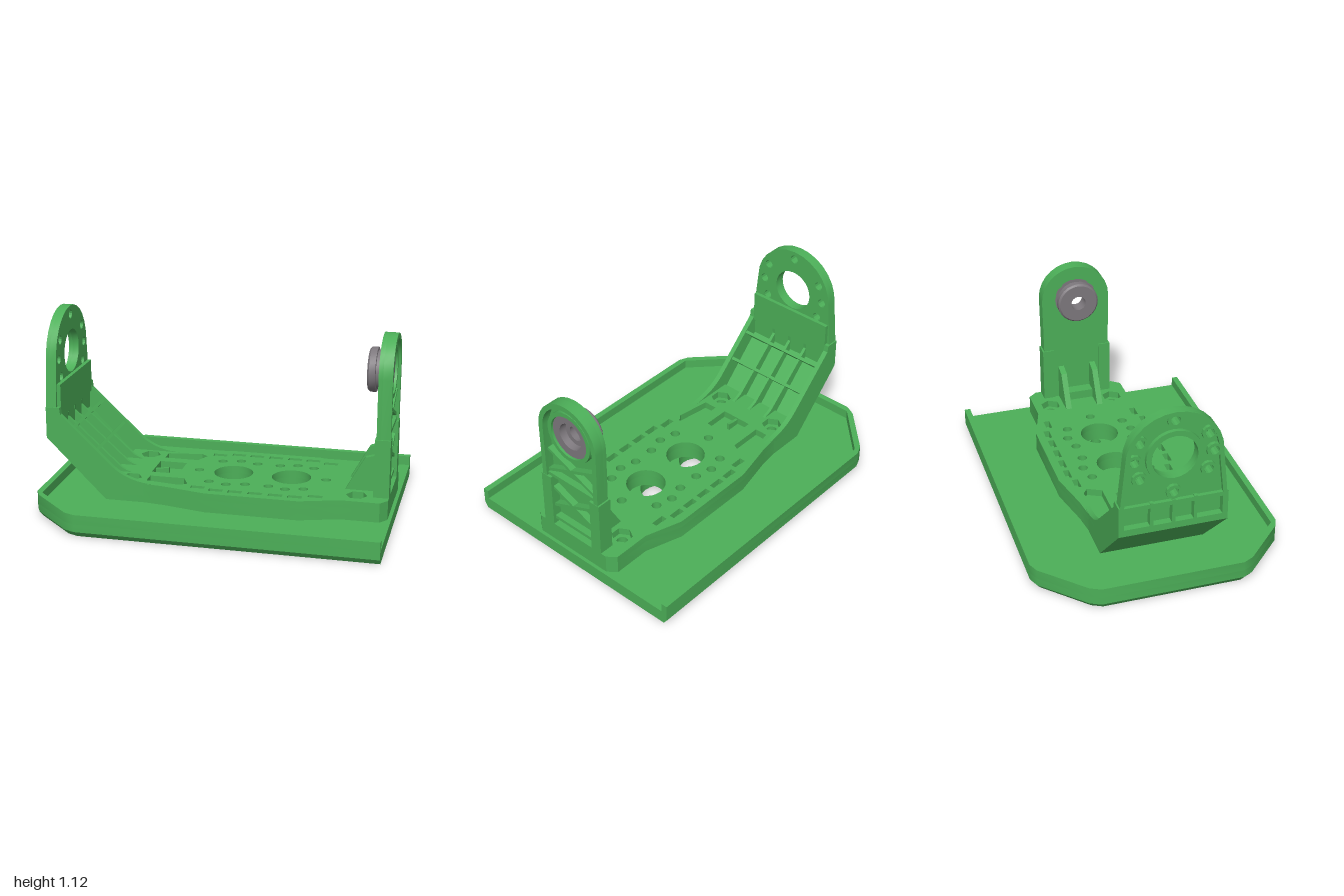
import * as THREE from 'three';
import { toCreasedNormals } from 'three/addons/utils/BufferGeometryUtils.js';

const green = new THREE.MeshStandardMaterial({ color: 0x4caf58 });
const steel = new THREE.MeshStandardMaterial({ color: 0x7d787d });

export function createModel() {
  const model = new THREE.Group();

  const add = (name, geo, mat = green) => {
    const mesh = new THREE.Mesh(toCreasedNormals(geo, 0.5), mat);
    mesh.name = name;
    model.add(mesh);
    return mesh;
  };
  const poly = (pts) => new THREE.Shape(pts.map(([x, y]) => new THREE.Vector2(x, y)));
  const disc = (x, y, r, n = 20) => poly(Array.from({ length: n }, (_, i) => {
    const a = (i / n) * Math.PI * 2;
    return [x + r * Math.cos(a), y + r * Math.sin(a)];
  }));
  const rect = (x, y, w, h) => poly([[x - w / 2, y - h / 2], [x + w / 2, y - h / 2], [x + w / 2, y + h / 2], [x - w / 2, y + h / 2]]);
  const extrude = (shape, holes, depth) => {
    shape.holes = holes;
    return new THREE.ExtrudeGeometry(shape, { depth, bevelEnabled: false, curveSegments: 8 });
  };
  // Extrusions along y, x and z
  const slab = (shape, holes, y0, y1) => extrude(shape, holes, y1 - y0).rotateX(-Math.PI / 2).translate(0, y0, 0);
  const plate = (shape, holes, x0, x1) => extrude(shape, holes, x1 - x0).rotateY(Math.PI / 2).translate(x0, 0, 0);
  const rib = (shape, z, t) => extrude(shape, [], t).translate(0, 0, z - t / 2);
  const box = (x0, x1, y0, y1, w, z = 0) =>
    new THREE.BoxGeometry(x1 - x0, y1 - y0, w).translate((x0 + x1) / 2, (y0 + y1) / 2, z);
  const both = (list) => list.flatMap(([x, z]) => (z ? [[x, z], [x, -z]] : [[x, z]]));

  // Tray with a raised rim on three sides
  const trayOutline = () => poly([[1, -0.71], [1, 0.71], [-0.68, 0.71], [-0.74, 0.685], [-0.97, 0.46], [-1, 0.4],
    [-1, -0.4], [-0.97, -0.46], [-0.74, -0.685], [-0.68, -0.71]]);
  const corners = both([[-0.5, 0.2], [0.8, 0.2]]);
  const trayHoles = () => [
    ...[-0.05, 0.285].map((x) => disc(x, 0, 0.11, 24)),
    ...corners.concat(both([[0.54, 0.26], [-0.31, 0.28], [0.04, 0.19], [0.18, 0.19], [-0.26, 0], [-0.19, 0], [0.48, 0]]))
      .map(([x, z]) => disc(x, z, 0.032, 14)),
  ];
  const bottom = slab(trayOutline(), trayHoles(), 0, 0.03);
  const p = bottom.attributes.position;
  for (let i = 0; i < p.count; i++) {
    // Draw in the lower outer edge
    if (p.getY(i) < 0.01 && (Math.abs(p.getZ(i)) > 0.39 || p.getX(i) < -0.7)) {
      p.setZ(i, p.getZ(i) * 0.97);
      if (p.getX(i) < 0) p.setX(i, p.getX(i) * 0.98);
    }
  }
  add('trayBottom', bottom);
  add('trayFloor', slab(trayOutline(), trayHoles(), 0.03, 0.075));
  add('trayRim', slab(poly([[1, -0.71], [1, -0.675], [-0.7, -0.675], [-0.965, -0.42], [-0.965, 0.42], [-0.7, 0.675], [1, 0.675],
    [1, 0.71], [-0.68, 0.71], [-0.74, 0.685], [-0.97, 0.46], [-1, 0.4], [-1, -0.4], [-0.97, -0.46], [-0.74, -0.685], [-0.68, -0.71]]),
  [], 0.075, 0.13));

  // Bracket base: drilled lower layer, upper layer with shallow pockets
  const half = [[-0.62, 0.3], [-0.4, 0.3], [-0.28, 0.315], [-0.03, 0.37], [0.5, 0.37], [0.72, 0.3], [0.94, 0.3], [0.98, 0.25]];
  const baseOutline = () => poly([...half.map(([x, z]) => [x, -z]), ...half.slice().reverse()]);
  const baseHoles = () => [
    ...[0.055, 0.395].map((x) => disc(x, 0, 0.113, 24)),
    ...both([[-0.15, 0], [-0.05, 0.175], [0.055, 0.2], [0.16, 0.175], [0.295, 0.175], [0.395, 0.2], [0.495, 0.175], [0.48 + 0.115, 0]])
      .map(([x, z]) => disc(x, z, 0.028, 14)),
  ];
  const pockets = [
    rect(-0.33, 0, 0.16, 0.19),
    ...both([[0.02, 0.305], [0.13, 0.305], [0.245, 0.305], [0.36, 0.305], [0.47, 0.305], [-0.09, 0.28], [0.58, 0.275]])
      .map(([x, z]) => rect(x, z, 0.08, 0.035)),
    ...[1, -1].map((s) => poly([[-0.4, s * 0.16], [-0.2, s * 0.16], [-0.16, s * 0.24], [-0.2, s * 0.27], [-0.4, s * 0.24]])),
  ];
  add('baseLower', slab(baseOutline(), [...baseHoles(), ...corners.map(([x, z]) => disc(x, z, 0.032, 14))], 0.075, 0.145));
  add('baseUpper', slab(baseOutline(),
    [...baseHoles(), ...pockets, ...corners.map(([x, z]) => disc(x, z, 0.06, 6))], 0.145, 0.187));

  // Tall arm: side walls, skin and ribs over the slope
  const wall = (drop) => {
    const s = new THREE.Shape();
    s.moveTo(-0.97, 0.42);
    s.lineTo(-0.625, 0.075);
    s.lineTo(-0.33, 0.075);
    s.lineTo(-0.33, 0.187);
    s.quadraticCurveTo(-0.48, 0.187 - drop / 2, -0.58, 0.27 - drop);
    s.lineTo(-0.885 - drop / 4, 0.56 - drop);
    s.lineTo(-0.89, 0.6);
    s.lineTo(-0.97, 0.6);
    return s;
  };
  for (const z of [-0.285, 0.285]) add('tallArmSideWall', rib(wall(0), z, 0.03));
  for (const z of [-0.12, 0, 0.12]) add('tallArmRib', rib(wall(0.06), z, 0.018));
  add('tallArmSkin', rib(poly([[-0.97, 0.42], [-0.625, 0.075], [-0.58, 0.075], [-0.58, 0.15], [-0.61, 0.15],
    [-0.9, 0.44], [-0.9, 0.6], [-0.93, 0.6], [-0.93, 0.46], [-0.97, 0.46]]), 0, 0.56));
  for (const [x, y] of [[-0.85, 0.45], [-0.72, 0.32]]) {
    add('tallArmCrossRib', new THREE.BoxGeometry(0.1, 0.018, 0.56).rotateZ(Math.PI / 4).translate(x, y, 0));
  }
  add('tallArmPad', box(-0.915, -0.888, 0.54, 0.73, 0.545));

  // Round-topped outline shared by both arms
  const arch = (bottomY, bottomW, topW, cy, inset = 0) => {
    const pts = [[-bottomW + inset, bottomY + inset], [bottomW - inset, bottomY + inset]];
    for (let i = 0; i <= 14; i++) {
      const a = (i / 14) * Math.PI;
      pts.push([(topW - inset) * Math.cos(a), cy + (topW - inset) * Math.sin(a)]);
    }
    return poly(pts);
  };

  // Tall arm flange with centre bore and bolt circle
  const CY = 0.86;
  const bolts = [0, 30, 90, 150, 180, 210, 270, 330].map((d) => {
    const a = (d * Math.PI) / 180;
    return [0.215 * Math.cos(a), CY + 0.215 * Math.sin(a)];
  });
  add('flange', plate(arch(0.57, 0.295, 0.265, CY),
    [disc(0, CY, 0.125, 24), ...bolts.map(([z, y]) => disc(z, y, 0.026, 12))], -0.948, -0.91));
  add('flangeRim', plate(arch(0.57, 0.295, 0.265, CY), [arch(0.57, 0.295, 0.265, CY, 0.025)], -0.97, -0.948));
  add('flangeBoreCollar', plate(disc(0, CY, 0.155, 24), [disc(0, CY, 0.125, 24)], -0.97, -0.948));
  for (const [z, y] of bolts) add('boltCollar', plate(disc(z, y, 0.042, 12), [disc(z, y, 0.026, 12)], -0.968, -0.948));

  // Short arm: web, rim and cross bracing on the outer face
  const shortArm = (inset) => arch(0.15, 0.2, 0.21, CY, inset);
  add('shortArmWeb', plate(shortArm(0), [disc(0, CY, 0.125, 24)], 0.9, 0.925));
  add('shortArmRim', plate(shortArm(0), [shortArm(0.03)], 0.925, 0.978));
  add('bearingCollar', plate(disc(0, CY, 0.155, 24), [disc(0, CY, 0.13, 24)], 0.925, 0.965));
  for (const s of [1, -1]) {
    add('shortArmFoot', box(0.892, 0.98, 0.15, 0.52, 0.07, s * 0.18));
    add('gusset', rib(poly([[0.72, 0.18], [0.9, 0.18], [0.9, 0.4], [0.83, 0.38]]), s * 0.1, 0.035));
  }
  for (const y of [0.53, 0.23]) add('shortArmCrossBar', box(0.925, 0.965, y - 0.01, y + 0.01, 0.36));
  for (const y of [0.38, 0.63]) {
    for (const s of [1, -1]) {
      add('shortArmBrace', new THREE.BoxGeometry(0.04, 0.018, 0.37).rotateX(s * 0.4).translate(0.943, y, 0));
    }
  }
  add('gussetBridge', box(0.83, 0.9, 0.18, 0.24, 0.2));

  // Bearing insert with a stepped bore
  const profile = [[0.045, 0.825], [0.115, 0.825], [0.125, 0.835], [0.125, 0.87], [0.11, 0.872], [0.11, 0.9], [0.13, 0.9],
    [0.13, 0.95], [0.08, 0.95], [0.075, 0.91], [0.045, 0.91], [0.045, 0.825]];
  add('bearing', new THREE.LatheGeometry(profile.map(([r, x]) => new THREE.Vector2(r, x)), 24)
    .rotateZ(-Math.PI / 2).translate(0, CY, 0), steel);

  return model;
}
